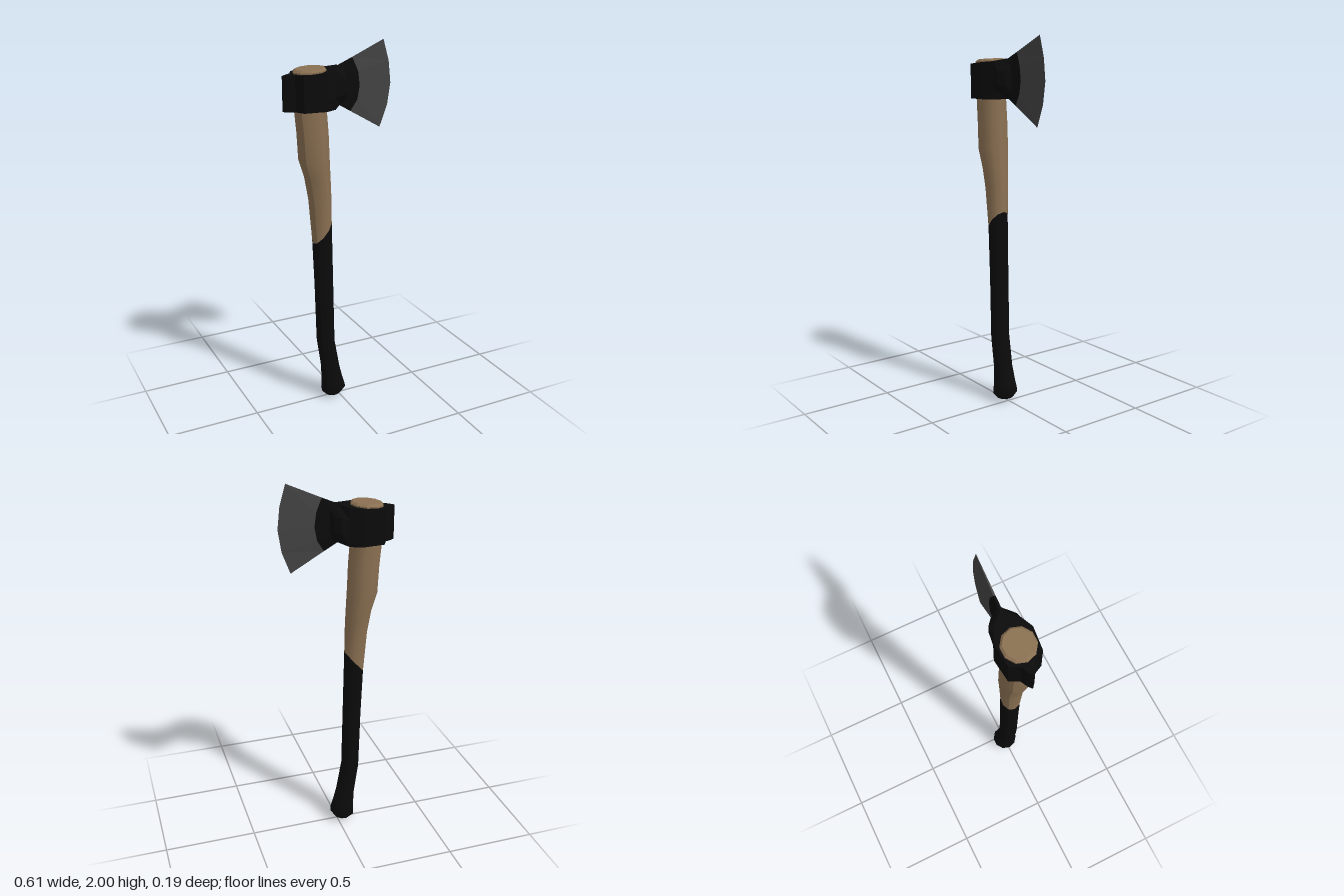
import * as THREE from 'three';

// Skins a list of rings; optional closing seam, end caps and faceted shading.
function loft(rings, { close = true, caps = [true, true], flat = false } = {}) {
  const n = rings[0].length, pos = [], idx = [];
  const push = (p) => pos.push(p.x, p.y, p.z) / 3 - 1;
  rings.forEach((r) => r.forEach(push));
  const spans = close ? n : n - 1;
  for (let i = 0; i < rings.length - 1; i++) {
    for (let j = 0; j < spans; j++) {
      const k = (j + 1) % n;
      const a = i * n + j, b = i * n + k, c = a + n, d = b + n;
      idx.push(a, c, b, b, c, d);
    }
  }
  // Caps use their own vertices so the rims stay sharp
  [rings[0], rings[rings.length - 1]].forEach((ring, end) => {
    if (!caps[end]) return;
    const mid = ring.reduce((s, p) => s.add(p), new THREE.Vector3()).divideScalar(n);
    const c = push(mid), first = pos.length / 3;
    ring.forEach(push);
    for (let j = 0; j < n; j++) {
      const a = first + j, b = first + ((j + 1) % n);
      if (end === 0) idx.push(c, a, b);
      else idx.push(c, b, a);
    }
  });
  let geo = new THREE.BufferGeometry();
  geo.setAttribute('position', new THREE.Float32BufferAttribute(pos, 3));
  geo.setIndex(idx);
  if (flat) geo = geo.toNonIndexed();
  geo.computeVertexNormals();
  return geo;
}

// Handle section: ten-sided oval between xMin and xMax, tilted along x
function handleRing([xMin, xMax, y, halfZ, tilt = 0], from = 0, to = 9) {
  const cx = (xMin + xMax) / 2, rx = (xMax - xMin) / 2;
  const ring = [];
  for (let i = from; i <= to; i++) {
    const a = (i * Math.PI) / 5, dx = Math.cos(a) * rx;
    ring.push(new THREE.Vector3(cx + dx, y + dx * tilt, (Math.sin(a) * halfZ) / 0.951));
  }
  return ring;
}

// Blade section: arc of [x, y] points from top to bottom, doubled across the thickness
function bladeRing(arc, half) {
  const t = arc.map((p, i) => (i === 0 || i === arc.length - 1 ? half * 0.5 : half));
  const far = arc.map(([x, y], i) => new THREE.Vector3(x, y, -t[i]));
  const near = arc.map(([x, y], i) => new THREE.Vector3(x, y, t[i])).reverse();
  return [...far, ...near];
}

export function createModel() {
  const model = new THREE.Group();
  const wood = new THREE.MeshStandardMaterial({ color: 0x8a7052 });
  const black = new THREE.MeshStandardMaterial({ color: 0x0b0b0b });
  const steel = new THREE.MeshStandardMaterial({ color: 0x434343 });
  wood.name = 'wood';
  black.name = 'black';
  steel.name = 'steel';

  const add = (name, geo, mat, parent = model) => {
    const mesh = new THREE.Mesh(geo, mat);
    mesh.name = name;
    parent.add(mesh);
  };

  // Handle: smooth body plus a creased strip down the back
  const handlePart = (name, sections, mat) => {
    const group = new THREE.Group();
    group.name = name;
    const open = { close: false, caps: [false, false] };
    add(name + 'Body', loft(sections.map((s) => handleRing(s, -4, 4)), open), mat, group);
    add(name + 'Back', loft(sections.map((s) => handleRing(s, 4, 6)), open), mat, group);
    model.add(group);
  };

  const seam = [-0.148, -0.042, 1.01, 0.053, 1.15];
  const gripSections = [
    [-0.075, 0.015, 0.012, 0.04, 0.12],
    [-0.1, 0.04, 0.046, 0.068, 0.18],
    [-0.098, 0.025, 0.1, 0.06, 0.12],
    [-0.103, 0.004, 0.19, 0.051],
    [-0.127, -0.027, 0.36, 0.051],
    [-0.137, -0.034, 0.7, 0.051],
    seam,
  ];
  const woodSections = [
    seam,
    [-0.167, -0.045, 1.2, 0.062, 0.2],
    [-0.188, -0.05, 1.31, 0.07],
    [-0.22, -0.055, 1.41, 0.08],
    [-0.228, -0.06, 1.55, 0.079],
    [-0.242, -0.07, 1.69, 0.077],
    [-0.244, -0.07, 1.872, 0.081, 0.07],
  ];
  handlePart('grip', gripSections, black);
  handlePart('handle', woodSections, wood);

  // Rounded butt of the grip
  add('gripEnd', loft([
    handleRing([-0.05, -0.02, 0, 0.012]),
    handleRing(gripSections[0]),
  ], { caps: [true, false], flat: true }), black);

  // Bevelled handle end showing above the head
  add('handleTop', loft([
    handleRing(woodSections[6]),
    handleRing([-0.232, -0.081, 1.883, 0.071, 0.07]),
  ], { caps: [false, true], flat: true }), wood);

  // Head block: stations along x as [x, bottom, top, half width at edges, half width in the middle]
  const stations = [
    [-0.305, 1.676, 1.853, 0.002, 0.002],
    [-0.285, 1.676, 1.855, 0.018, 0.018],
    [-0.25, 1.676, 1.858, 0.035, 0.035],
    [-0.225, 1.676, 1.86, 0.085, 0.085],
    [-0.105, 1.676, 1.868, 0.097, 0.097],
    [-0.045, 1.676, 1.873, 0.068, 0.071],
    [0, 1.69, 1.885, 0.022, 0.07],
    [0.028, 1.7, 1.88, 0.014, 0.046],
    [0.042, 1.71, 1.87, 0.01, 0.012],
  ];
  const headRings = stations.map(([x, yb, yt, ze, zm]) => {
    const h = yt - yb, up = yt - h * 0.3, low = yb + h * 0.3;
    return [[yt, ze], [yt, -ze], [up, -zm], [low, -zm], [yb, -ze], [yb, ze], [low, zm], [up, zm]]
      .map(([y, z]) => new THREE.Vector3(x, y, z));
  });
  add('headBlock', loft(headRings, { flat: true }), black);

  // Blade: dark cheek, then the bare steel bit fanning out to the edge
  const root = [[-0.01, 1.88], [0, 1.84], [0, 1.785], [0, 1.735], [-0.01, 1.693]];
  const border = [[0.08, 1.919], [0.11, 1.85], [0.12, 1.775], [0.107, 1.705], [0.07, 1.647]];
  const edge = [[0.26, 2], [0.292, 1.89], [0.305, 1.775], [0.288, 1.66], [0.245, 1.545]];
  add('bladeCheek', loft([bladeRing(root, 0.015), bladeRing(border, 0.01)],
    { caps: [true, false], flat: true }), black);
  add('bladeBit', loft([bladeRing(border, 0.01), bladeRing(edge, 0.0015)],
    { caps: [false, true], flat: true }), steel);

  return model;
}
